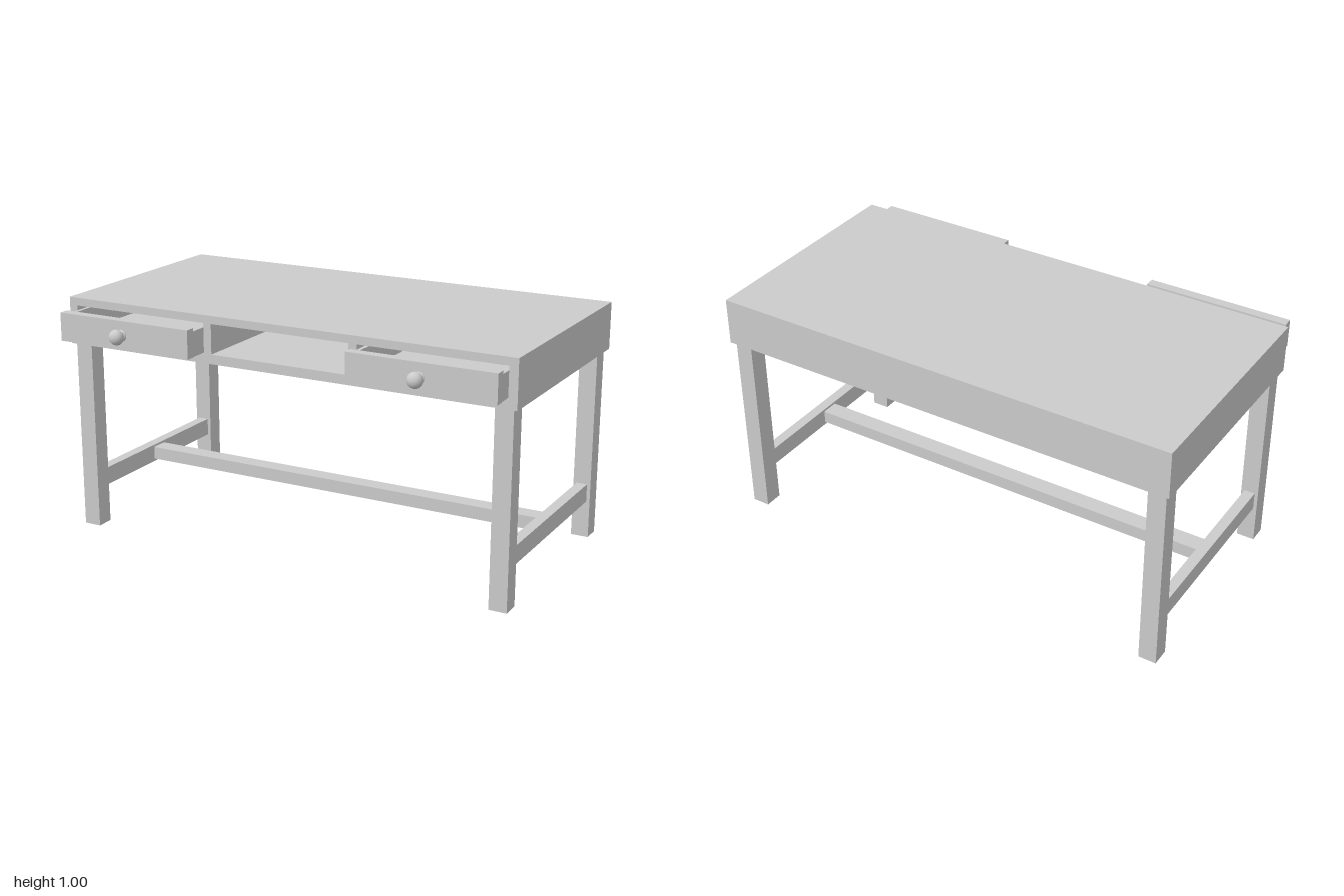
import * as THREE from 'three';

const material = new THREE.MeshStandardMaterial({ color: 0xcccccc });

// Box given by its minimum and maximum on each axis
function box(parent, name, [x0, x1], [y0, y1], [z0, z1]) {
  const mesh = new THREE.Mesh(new THREE.BoxGeometry(x1 - x0, y1 - y0, z1 - z0), material);
  mesh.name = name;
  mesh.position.set((x0 + x1) / 2, (y0 + y1) / 2, (z0 + z1) / 2);
  parent.add(mesh);
  return mesh;
}

// Round pull: flared foot, narrow neck and a ball, turned around z
function knob() {
  const profile = [[0.024, 0], [0.024, 0.004], [0.014, 0.012]];
  for (let i = 0; i <= 10; i++) {
    const a = THREE.MathUtils.lerp(-1.1, Math.PI / 2, i / 10);
    profile.push([Math.max(0, 0.032 * Math.cos(a)), 0.034 + 0.027 * Math.sin(a)]);
  }
  const geometry = new THREE.LatheGeometry(profile.map(p => new THREE.Vector2(...p)), 24);
  geometry.rotateX(Math.PI / 2);
  const mesh = new THREE.Mesh(geometry, material);
  mesh.name = 'knob';
  return mesh;
}

// Open-topped drawer whose front face lies at zFront
function drawer(name, x0, x1, zFront, knobX) {
  const group = new THREE.Group();
  group.name = name;
  const wall = 0.018, back = zFront - 0.92, inner = zFront - 0.042;
  box(group, 'drawerFront', [x0, x1], [0.846, 0.965], [inner, zFront]);
  box(group, 'drawerSide', [x0 + 0.002, x0 + wall], [0.847, 0.951], [back, inner]);
  box(group, 'drawerSide', [x1 - wall, x1 - 0.002], [0.847, 0.951], [back, inner]);
  box(group, 'drawerBack', [x0 + wall, x1 - wall], [0.847, 0.951], [back, back + wall]);
  box(group, 'drawerBottom', [x0 + wall, x1 - wall], [0.847, 0.862], [back + wall, inner]);
  const pull = knob();
  pull.position.set(knobX, 0.905, zFront);
  group.add(pull);
  return group;
}

export function createModel() {
  const desk = new THREE.Group();
  desk.name = 'desk';

  // Hollow case with three compartments open to the front
  const body = new THREE.Group();
  body.name = 'case';
  desk.add(body);
  const zBack = -0.583, zFront = 0.408;
  box(body, 'top', [-1, 1], [0.97, 1.003], [zBack, zFront]);
  box(body, 'caseBottom', [-1, 1], [0.805, 0.845], [zBack, zFront]);
  box(body, 'caseBack', [-0.963, 0.963], [0.845, 0.97], [zBack, zBack + 0.037]);
  for (const s of [-1, 1]) {
    const sideX = [s, s * 0.963].sort((a, b) => a - b);
    const dividerX = [s * 0.343, s * 0.308].sort((a, b) => a - b);
    box(body, 'caseSide', sideX, [0.845, 0.97], [zBack, zFront]);
    box(body, 'divider', dividerX, [0.845, 0.97], [zBack + 0.037, zFront]);
  }

  // Two drawers, pulled out by slightly different amounts
  desk.add(drawer('rightDrawer', -0.962, -0.344, 0.523, -0.66));
  desk.add(drawer('leftDrawer', 0.344, 0.962, 0.504, 0.65));

  // Legs with a side stretcher between each front and back pair
  for (const s of [-1, 1]) {
    const legX = [s * 0.983, s * 0.908].sort((a, b) => a - b);
    const railX = [s * 0.968, s * 0.923].sort((a, b) => a - b);
    box(desk, 'frontLeg', legX, [0, 0.805], [0.32, 0.396]);
    box(desk, 'backLeg', legX, [0, 0.805], [-0.567, -0.489]);
    box(desk, 'sideStretcher', railX, [0.158, 0.235], [-0.489, 0.32]);
  }

  // Long stretcher joining the two side stretchers
  box(desk, 'longStretcher', [-0.923, 0.923], [0.17, 0.225], [-0.123, -0.047]);

  return desk;
}
